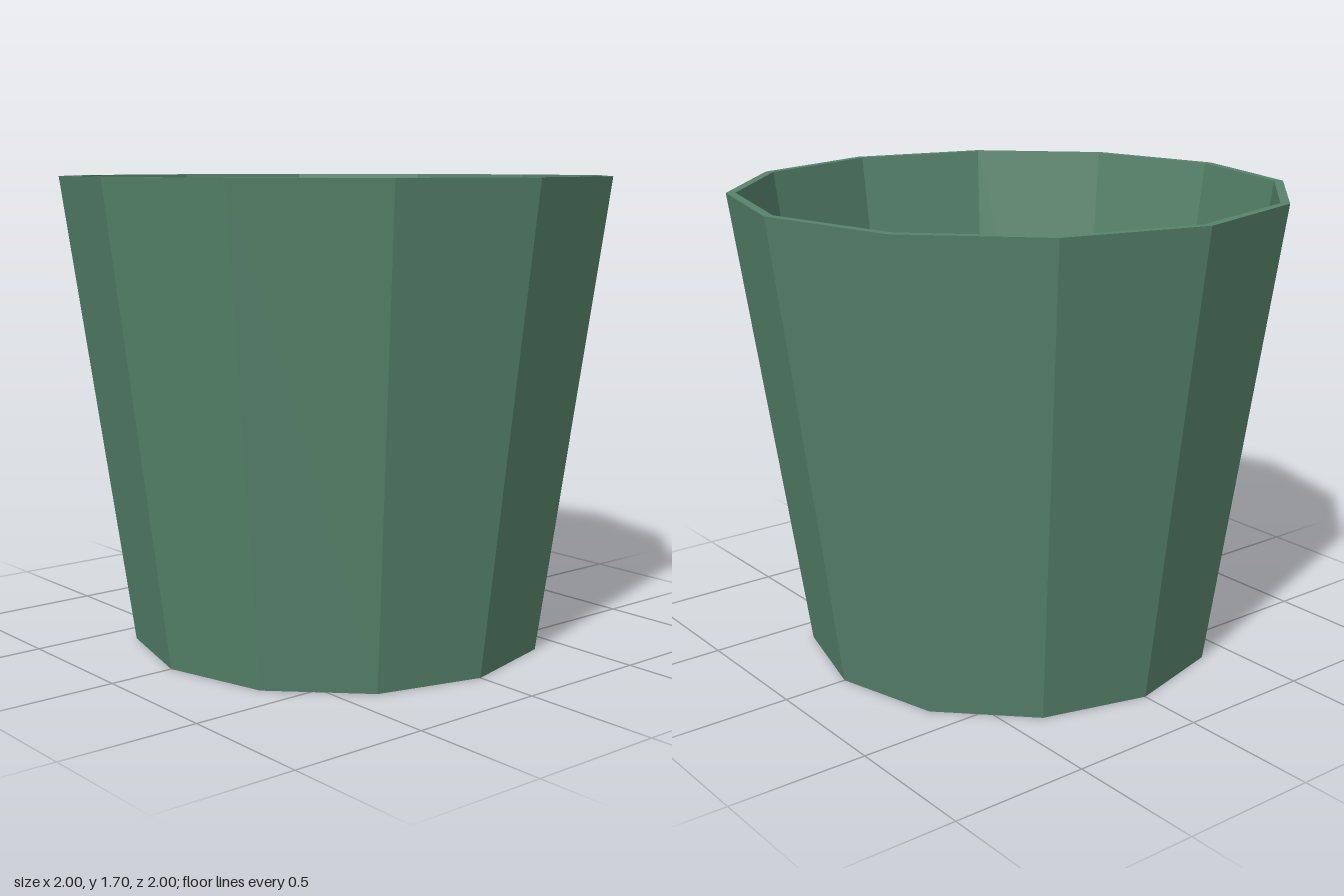
import * as THREE from 'three';

const SIDES = 12;
const HEIGHT = 1.7;
const FLOOR = 0.035;       // floor thickness
const FLOOR_RADIUS = 0.73; // inner radius at the floor
const HOLE_RADIUS = 0.083;

export function createModel() {
  const pot = new THREE.Group();
  pot.name = 'plantPot';

  const green = new THREE.MeshStandardMaterial({ color: 0x56836b, flatShading: true });
  green.name = 'green';

  // Tapered faceted wall: underside, outside, rim, inside
  const profile = [
    [FLOOR_RADIUS, 0], [0.76, 0], [1, HEIGHT], [0.967, HEIGHT], [FLOOR_RADIUS, FLOOR],
  ].map(([r, y]) => new THREE.Vector2(r, y));
  const wall = new THREE.Mesh(new THREE.LatheGeometry(profile, SIDES), green);
  wall.name = 'wall';
  pot.add(wall);

  // Floor slab with a round drainage hole
  const corners = Array.from({ length: SIDES }, (_, i) => {
    const a = (i / SIDES) * Math.PI * 2;
    return new THREE.Vector2(Math.cos(a) * FLOOR_RADIUS, Math.sin(a) * FLOOR_RADIUS);
  });
  const outline = new THREE.Shape(corners);
  outline.holes.push(new THREE.Path().absarc(0, 0, HOLE_RADIUS, 0, Math.PI * 2, true));
  const slab = new THREE.ExtrudeGeometry(outline, { depth: FLOOR, bevelEnabled: false, curveSegments: 32 });
  slab.rotateX(-Math.PI / 2);
  const floor = new THREE.Mesh(slab, green);
  floor.name = 'floorWithDrainHole';
  pot.add(floor);

  return pot;
}
